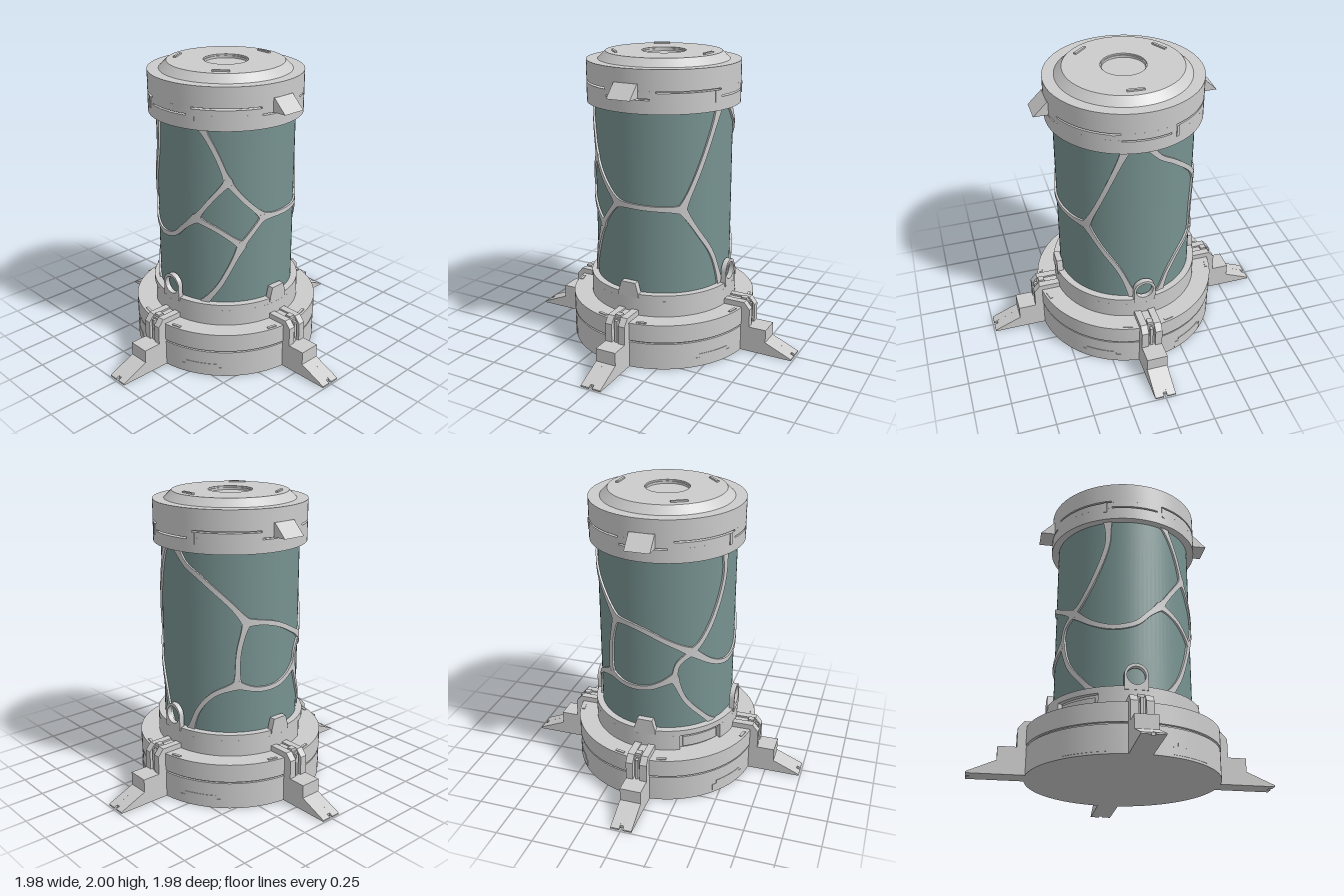
import * as THREE from 'three';
import { toCreasedNormals } from 'three/addons/utils/BufferGeometryUtils.js';

const grey = new THREE.MeshStandardMaterial({ color: 0xcccccc });
const teal = new THREE.MeshStandardMaterial({ color: 0x769290 });
const rad = THREE.MathUtils.degToRad;
const Q = Math.PI / 2;

function add(parent, name, geo, mat = grey) {
  const m = new THREE.Mesh(geo, mat);
  m.name = name;
  parent.add(m);
  return m;
}

// Turned part from [radius, height] points, listed from bottom to top
function turned(points) {
  return toCreasedNormals(new THREE.LatheGeometry(points.map(p => new THREE.Vector2(...p)), 96), 0.5);
}

// Curved block between two radii, heights and angles (angle 0 is the front, 90 degrees is +x)
function arcBlock(r0, r1, y0, y1, a0, a1) {
  const s = new THREE.Shape();
  s.absarc(0, 0, r1, a0 - Q, a1 - Q, false);
  s.absarc(0, 0, r0, a1 - Q, a0 - Q, true);
  const g = new THREE.ExtrudeGeometry(s, { depth: y1 - y0, bevelEnabled: false, curveSegments: Math.ceil((a1 - a0) * 15) + 2 });
  g.rotateX(-Q).translate(0, y0, 0);
  return toCreasedNormals(g, 0.4);
}

// Outline from [x, y] points
function outline(points) {
  return new THREE.Shape(points.map(p => new THREE.Vector2(...p)));
}

// Flat outline extruded from z0 to z1
function plate(shape, z0, z1) {
  const g = new THREE.ExtrudeGeometry(shape, { depth: z1 - z0, bevelEnabled: false, curveSegments: 20 });
  return toCreasedNormals(g.translate(0, 0, z0), 0.5);
}

// Raised rib following [angle in degrees, height] points, flaring at both ends
function rib(points) {
  const R = 0.465, n = 36;
  const curve = new THREE.CatmullRomCurve3(points.map(([a, y]) => new THREE.Vector3(rad(a) * R, y, 0)));
  const pos = [], idx = [];
  for (let i = 0; i <= n; i++) {
    const t = i / n, p = curve.getPoint(t), d = curve.getTangent(t);
    const w = 0.016 + 0.016 * Math.abs(2 * t - 1) ** 5;
    for (const [side, r] of [[-1, 0.45], [-1, 0.473], [1, 0.473], [1, 0.45]]) {
      const a = (p.x - d.y * w * side) / R;
      const y = THREE.MathUtils.clamp(p.y + d.x * w * side, 0.455, 1.675);
      pos.push(Math.sin(a) * r, y, Math.cos(a) * r);
    }
    if (i < n) for (let k = 0; k < 4; k++) {
      const a = i * 4 + k, b = i * 4 + (k + 1) % 4;
      idx.push(a, a + 4, b, b, a + 4, b + 4);
    }
  }
  const e = n * 4;
  idx.push(0, 1, 2, 0, 2, 3, e, e + 2, e + 1, e, e + 3, e + 2);
  const g = new THREE.BufferGeometry();
  g.setAttribute('position', new THREE.Float32BufferAttribute(pos, 3));
  g.setIndex(idx);
  return toCreasedNormals(g, 0.6);
}

// Stepped foot pointing along +x, with a slotted upright and a notched toe
function foot() {
  const g = new THREE.Group();
  g.name = 'foot';
  const toe = end => outline([[0.55, 0], [end, 0], [end, 0.01 + (0.99 - end) * 0.42], [0.805, 0.09], [0.805, 0.18], [0.55, 0.18]]);
  const upright = outline([[0.49, 0.18], [0.685, 0.18], [0.685, 0.305], [0.645, 0.352], [0.49, 0.352]]);
  for (const s of [-1, 1]) {
    const z = s < 0 ? -0.072 : 0.012;
    add(g, 'footToe', plate(toe(0.99), z, z + 0.06));
    const u = s < 0 ? -0.072 : 0.024;
    add(g, 'footUpright', plate(upright, u, u + 0.048));
  }
  add(g, 'footToeCentre', plate(toe(0.965), -0.012, 0.012));
  add(g, 'footSlotBack', plate(outline([[0.49, 0.18], [0.65, 0.18], [0.65, 0.34], [0.49, 0.34]]), -0.024, 0.024));
  add(g, 'footLatch', new THREE.BoxGeometry(0.03, 0.15, 0.02)).position.set(0.66, 0.255, 0);
  add(g, 'footClip', new THREE.BoxGeometry(0.04, 0.02, 0.04)).position.set(0.62, 0.352, 0);
  return g;
}

export function createModel() {
  const model = new THREE.Group();
  model.name = 'canister';

  // Round base, grooved around the middle
  add(model, 'base', turned([[0, 0], [0.63, 0], [0.63, 0.18], [0.615, 0.18], [0.615, 0.192],
    [0.633, 0.192], [0.633, 0.315], [0.44, 0.315]]));

  // Collar with a recessed panel at the front
  const r0 = rad(-63), r1 = rad(-27);
  add(model, 'collarCore', turned([[0.475, 0.31], [0.475, 0.465], [0.44, 0.465]]));
  add(model, 'collarWall', arcBlock(0.45, 0.505, 0.31, 0.425, r1, r0 + 4 * Q));
  add(model, 'collarRim', turned([[0.45, 0.425], [0.505, 0.425], [0.505, 0.465], [0.45, 0.465]]));
  add(model, 'collarPanel', arcBlock(0.47, 0.49, 0.33, 0.405, r0 + 0.05, r1 - 0.05));

  // Glass cylinder
  add(model, 'glass', new THREE.CylinderGeometry(0.46, 0.46, 1.22, 96, 1, true), teal).position.y = 1.065;

  // Web of ribs; shared junctions are lettered
  const A = [307, 1.03], B = [382, 1.06], C = [408, 1.32], D = [437.5, 1.06], E = [419, 0.88],
    F = [492, 1.04], G = [242, 1.22], H = [235, 0.8], I = [293, 0.85];
  const ribs = [
    [[338, 1.68], [338, 1.5], [327, 1.25], [314, 1.08], A],
    [A, [327, 0.92], [344, 0.88], [361, 0.91], [372, 0.99], B],
    [A, [296, 0.95], I],
    [I, [302, 0.68], [317, 0.54], [328, 0.45]],
    [A, [290, 1.1], [270, 1.18], [256, 1.21], G],
    [B, [393, 1.18], C],
    [C, [399, 1.5], [387, 1.68]],
    [C, [420, 1.2], D],
    [B, [400, 0.99], E],
    [E, [428, 0.97], D],
    [E, [409, 0.71], [401, 0.59], [388, 0.45]],
    [D, [462, 1.05], F],
    [F, [503, 1.23], [513, 1.42], [526, 1.68]],
    [F, [506, 0.87], [520, 0.7], [532, 0.45]],
    [G, [229, 1.34], [206, 1.5], [192, 1.58], [182, 1.68]],
    [G, [236, 1.02], H],
    [H, [252, 0.76], [272, 0.77], I],
    [H, [216, 0.73], [203, 0.61], [195, 0.45]],
  ];
  const web = new THREE.Group();
  web.name = 'ribWeb';
  ribs.forEach(p => add(web, 'rib', rib(p)));
  model.add(web);

  // Cap with two grooves, broken into slits by the bridges below
  add(model, 'cap', turned([[0.45, 1.665], [0.51, 1.665], [0.51, 1.75], [0.475, 1.75], [0.475, 1.76], [0.51, 1.76],
    [0.51, 1.795], [0.475, 1.795], [0.475, 1.806], [0.51, 1.806], [0.51, 1.94], [0.435, 1.94],
    [0.385, 1.99], [0.146, 1.99], [0.146, 1.98], [0.138, 1.98], [0.138, 1.965], [0, 1.965]]));

  for (let k = 0; k < 4; k++) {
    const a = k * Q;
    add(model, 'lowerSlitBridge', arcBlock(0.47, 0.51, 1.75, 1.76, a + 0.31, a + Q - 0.31));
    add(model, 'upperSlitBridge', arcBlock(0.47, 0.51, 1.795, 1.806, a - 0.32, a + 0.38));
    const f = foot();
    f.rotation.y = a;
    model.add(f);
    // Raised slots on the base top, either side of each foot
    for (const s of [-1, 1]) {
      const b = a + s * 0.24;
      const m = add(model, 'baseSlot', new THREE.BoxGeometry(0.065, 0.012, 0.018));
      m.position.set(Math.sin(b) * 0.608, 0.315, Math.cos(b) * 0.608);
      m.rotation.y = b;
    }
  }

  // Upright catches on the cap and low panels on the base
  for (const sz of [0, 2 * Q]) for (const s of [-1, 1]) {
    const c = sz + s * 0.4, p = sz + s * 0.54;
    add(model, 'capCatch', arcBlock(0.49, 0.515, 1.72, 1.795, c - 0.02, c + 0.02));
    add(model, 'basePanel', arcBlock(0.6, 0.633, 0.015, 0.065, p - 0.22, p + 0.22));
    add(model, 'basePanelTop', arcBlock(0.6, 0.633, 0.065, 0.09, p - 0.17, p + 0.17));
  }

  // Ring lugs at front and back, tapered tabs and cap wedges at the sides
  const ring = new THREE.Shape();
  ring.moveTo(-0.075, 0.44);
  ring.lineTo(0.075, 0.44);
  ring.lineTo(0.075, 0.54);
  ring.absarc(0, 0.54, 0.075, 0, Math.PI, false);
  ring.closePath();
  ring.holes.push(new THREE.Path().absarc(0, 0.535, 0.06, 0, 4 * Q, true));
  const tab = outline([[-0.075, 0.44], [0.075, 0.44], [0.072, 0.47], [0.052, 0.54], [-0.052, 0.54], [-0.072, 0.47]]);
  const wedge = outline([[0.49, 1.76], [0.6, 1.76], [0.51, 1.85], [0.49, 1.85]]);
  for (const turn of [0, 2 * Q]) {
    add(model, 'ringLug', plate(ring, 0.472, 0.507)).rotation.y = turn;
    add(model, 'sideTab', plate(tab, 0.465, 0.506)).rotation.y = Q + turn;
    add(model, 'capWedge', plate(wedge, -0.082, 0.082)).rotation.y = turn;
  }

  // Raised bars on the lid
  for (const a of [176, 300, 41]) {
    const m = add(model, 'lidBar', new THREE.BoxGeometry(0.11, 0.02, 0.018));
    m.position.set(Math.sin(rad(a)) * 0.33, 1.99, Math.cos(rad(a)) * 0.33);
    m.rotation.y = rad(a);
  }
  return model;
}
